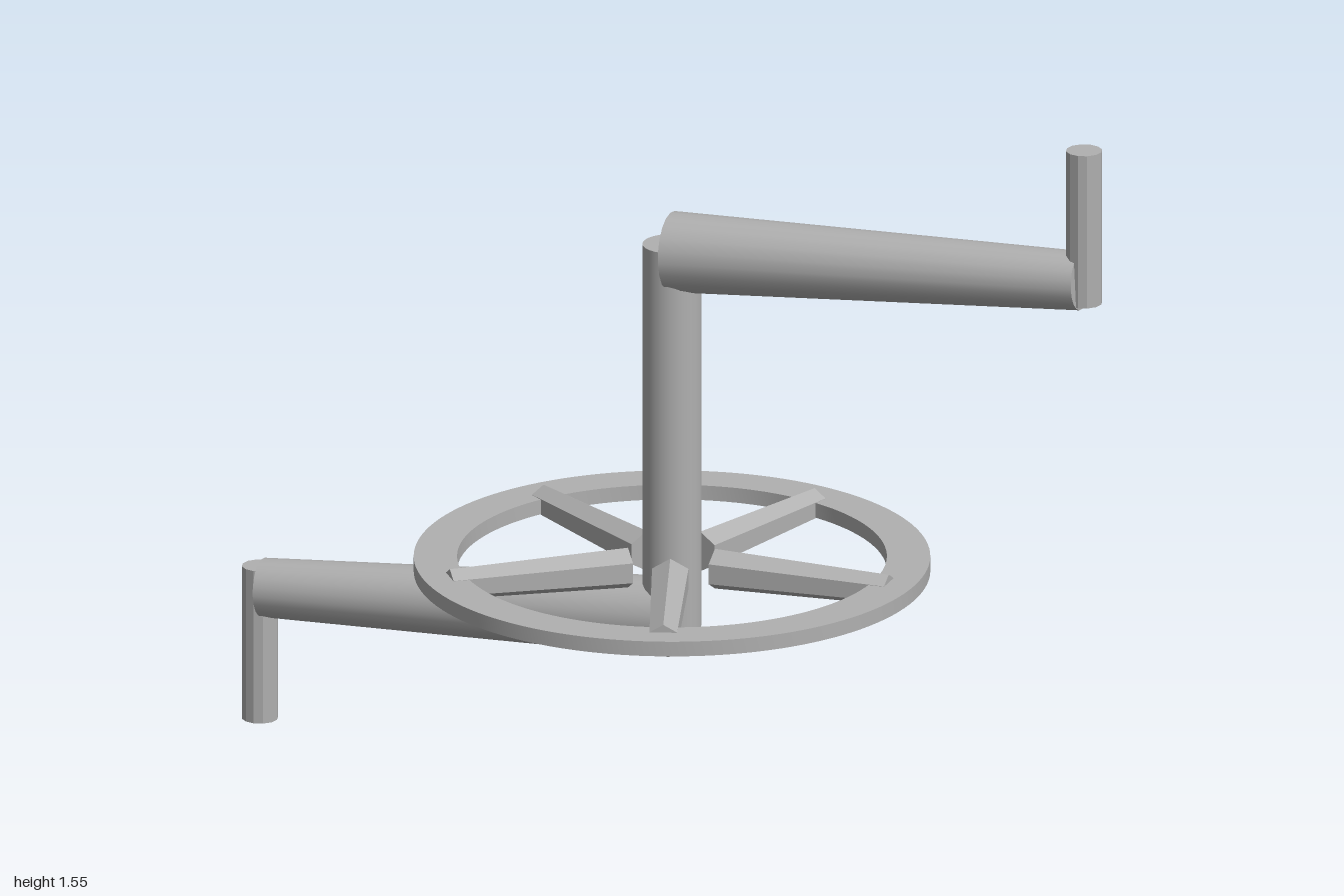
import * as THREE from 'three';
import { toCreasedNormals } from 'three/addons/utils/BufferGeometryUtils.js';

const gray = new THREE.MeshStandardMaterial({ color: 0xb0b0b0 });
gray.name = 'gray metal';
const flatGray = gray.clone();
flatGray.flatShading = true;

// Tapered rod between two points, with radius ra at a and rb at b
function rod(name, a, b, ra, rb, sides, material) {
  const from = new THREE.Vector3(...a);
  const to = new THREE.Vector3(...b);
  const dir = to.clone().sub(from);
  const mesh = new THREE.Mesh(new THREE.CylinderGeometry(rb, ra, dir.length(), sides), material);
  mesh.position.copy(from).add(to).multiplyScalar(0.5);
  mesh.quaternion.setFromUnitVectors(new THREE.Vector3(0, 1, 0), dir.normalize());
  mesh.name = name;
  return mesh;
}

export function createModel() {
  const model = new THREE.Group();
  model.name = 'pedalCrank';
  const midY = 0.774;

  // Central axle
  model.add(rod('axle', [0, 0.333, 0], [0, 1.215, 0], 0.065, 0.065, 24, gray));

  // Crank arms and pedal pegs, the lower one turned half round from the upper
  for (const s of [1, -1]) {
    const at = (x, dy) => [s * x, midY + s * dy, 0];
    const side = s > 0 ? 'upper' : 'lower';
    model.add(rod(side + 'CrankArm', at(0, 0.423), at(0.953, 0.471), 0.089, 0.065, 20, gray));
    model.add(rod(side + 'PedalPeg', at(0.96, 0.421), at(0.96, midY), 0.04, 0.04, 12, flatGray));
  }

  // Flat chain ring
  const wheelY = 0.474;
  const shape = new THREE.Shape().absarc(0, 0, 0.565, 0, Math.PI * 2);
  shape.holes.push(new THREE.Path().absarc(0, 0, 0.47, 0, Math.PI * 2, true));
  const ringGeo = new THREE.ExtrudeGeometry(shape, { depth: 0.034, bevelEnabled: false, curveSegments: 64 });
  ringGeo.translate(0, 0, -0.017).rotateX(-Math.PI / 2);
  const ring = new THREE.Mesh(toCreasedNormals(ringGeo, 0.5), gray);
  ring.name = 'chainRing';
  ring.position.y = wheelY;
  model.add(ring);

  // Five tapered six-sided spokes, each with a corner line on top
  for (let i = 0; i < 5; i++) {
    const pivot = new THREE.Group();
    pivot.name = 'spoke' + (i + 1);
    const geo = new THREE.CylinderGeometry(0.035, 0.046, 0.405, 6);
    geo.rotateY(Math.PI / 2).rotateZ(-Math.PI / 2);
    const spoke = new THREE.Mesh(geo, flatGray);
    spoke.name = 'spokeBar';
    spoke.position.x = 0.3025;
    pivot.add(spoke);
    pivot.position.y = wheelY;
    pivot.rotation.y = (i * Math.PI * 2) / 5;
    model.add(pivot);
  }
  return model;
}
